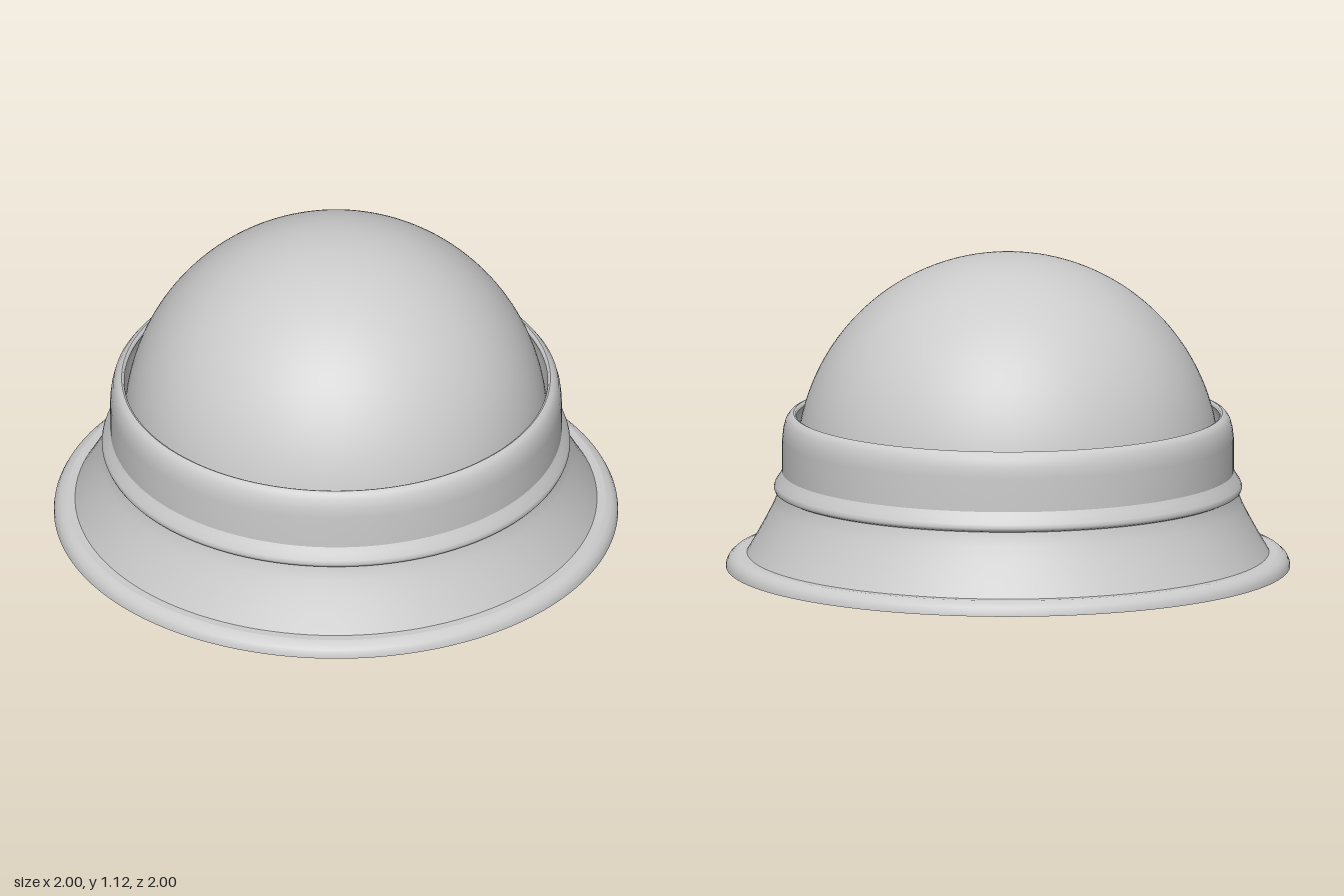
import * as THREE from 'three';

const SEGMENTS = 128;
const material = new THREE.MeshStandardMaterial({ color: 0xcccccc });

// Each run of [radius, y] points is smooth; edges between runs stay sharp.
function turned(name, runs) {
  const group = new THREE.Group();
  group.name = name;
  runs.forEach((run, i) => {
    const points = run.map(([r, y]) => new THREE.Vector2(r, y));
    const mesh = new THREE.Mesh(new THREE.LatheGeometry(points, SEGMENTS), material);
    mesh.name = `${name}Surface${i + 1}`;
    group.add(mesh);
  });
  return group;
}

export function createModel() {
  const model = new THREE.Group();
  model.name = 'domedCap';

  // Flat underside and rounded rim of the base
  model.add(turned('baseRim', [
    [[0, 0], [1, 0]],
    [[1, 0], [0.998, 0.014], [0.99, 0.03], [0.975, 0.043], [0.955, 0.05]],
    [[0.955, 0.05], [0.925, 0.05]],
  ]));

  // Concave flared skirt rising to the neck
  model.add(turned('flaredSkirt', [
    [[0.925, 0.05], [0.89, 0.11], [0.857, 0.17], [0.832, 0.22], [0.82, 0.25], [0.815, 0.27]],
  ]));

  // Bead around the neck
  model.add(turned('neckBead', [
    [[0.815, 0.27], [0.826, 0.275], [0.83, 0.285], [0.826, 0.298], [0.812, 0.32], [0.8, 0.34]],
  ]));

  // Collar with a rounded lip, an inner wall and a floor under the dome gap
  model.add(turned('collar', [
    [[0.8, 0.34], [0.8, 0.46], [0.796, 0.495], [0.788, 0.525], [0.775, 0.543], [0.76, 0.55]],
    [[0.76, 0.55], [0.753, 0.547], [0.75, 0.538]],
    [[0.75, 0.538], [0.757, 0.52], [0.76, 0.48], [0.76, 0.36]],
    [[0.76, 0.36], [0.7, 0.36]],
  ]));

  // Dome seated inside the collar
  const dome = new THREE.Mesh(
    new THREE.SphereGeometry(0.75, SEGMENTS, 48, 0, Math.PI * 2, 0, Math.PI / 2),
    material,
  );
  dome.name = 'dome';
  dome.position.y = 0.37;
  model.add(dome);

  return model;
}
